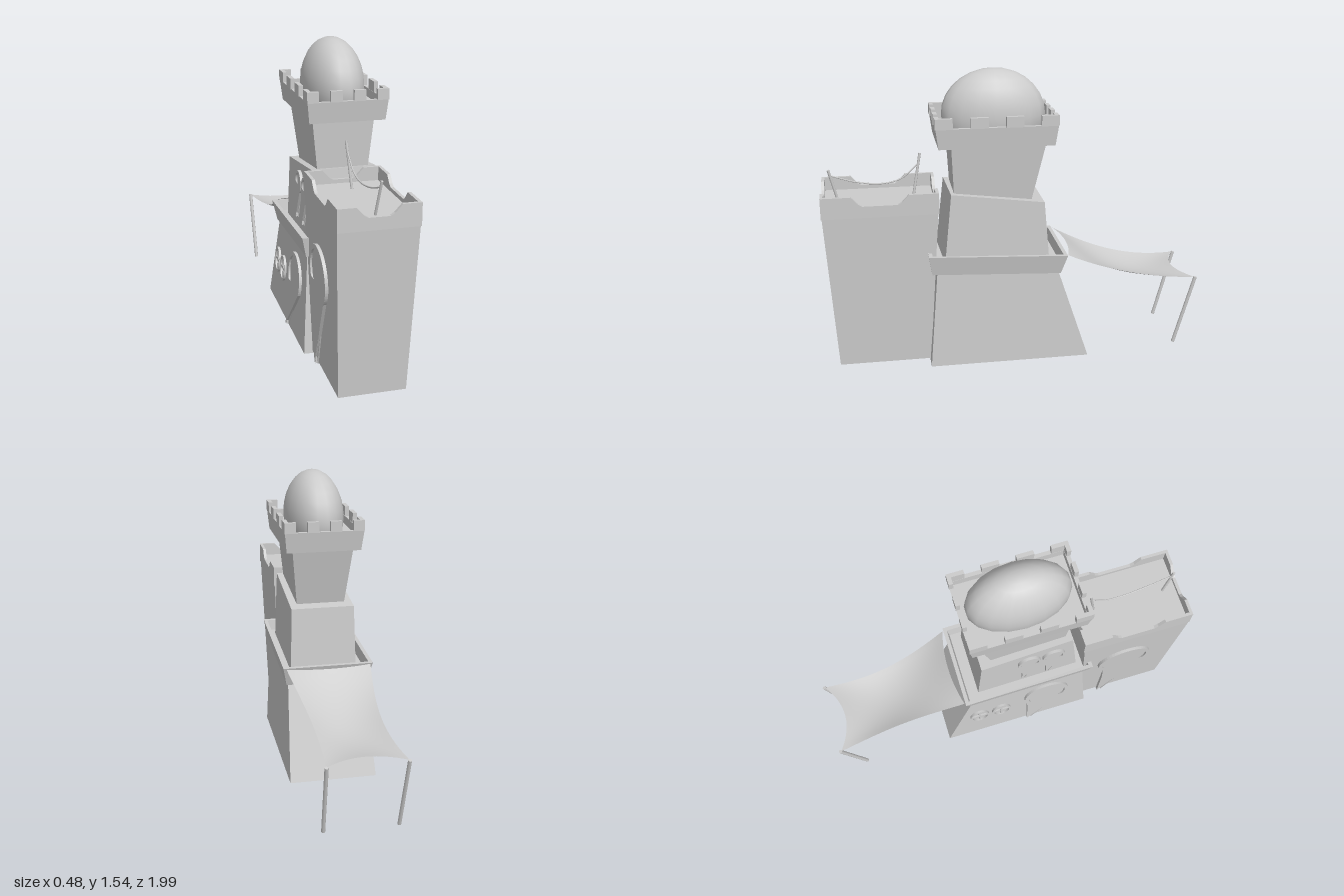
import * as THREE from 'three';

const V = (x, y, z) => new THREE.Vector3(x, y, z);
const mat = new THREE.MeshStandardMaterial({ color: 0xcccccc });
const flat = new THREE.MeshStandardMaterial({ color: 0xcccccc, flatShading: true });
const cloth = new THREE.MeshStandardMaterial({ color: 0xcccccc, side: THREE.DoubleSide });

function add(parent, name, geometry, material = flat) {
  const mesh = new THREE.Mesh(geometry, material);
  mesh.name = name;
  parent.add(mesh);
  return mesh;
}

// Four-sided block through rings [xMin, xMax, zFront, zBack, yFront, yBack, frontSkew]
function loft(rings) {
  const pts = rings.map(([x0, x1, zf, zb, yf, yb = yf, skew = 0]) =>
    [V(x0, yf, zf), V(x1, yf, zf - skew), V(x1, yb, zb), V(x0, yb, zb)]);
  const out = [];
  const quad = (a, b, c, d) => [a, b, c, a, c, d].forEach(p => out.push(p.x, p.y, p.z));
  const last = pts[pts.length - 1];
  quad(pts[0][3], pts[0][2], pts[0][1], pts[0][0]);
  for (let r = 0; r < pts.length - 1; r++)
    for (let i = 0; i < 4; i++) {
      const j = (i + 1) % 4;
      quad(pts[r][i], pts[r][j], pts[r + 1][j], pts[r + 1][i]);
    }
  quad(...last);
  const g = new THREE.BufferGeometry();
  g.setAttribute('position', new THREE.Float32BufferAttribute(out, 3));
  g.computeVertexNormals();
  return g;
}

// Straight round stick between two points
function rod(parent, name, a, b, r) {
  const m = add(parent, name, new THREE.CylinderGeometry(r, r, a.distanceTo(b), 8), mat);
  m.position.copy(a).lerp(b, 0.5);
  m.quaternion.setFromUnitVectors(V(0, 1, 0), b.clone().sub(a).normalize());
}

// Keyhole outline: round head of radius r on a stem of half width w
function keyhole(r, w, cy, bottom, Type = THREE.Shape) {
  const a = Math.asin(w / r), s = new Type();
  s.moveTo(w, bottom);
  s.absarc(0, cy, r, -Math.PI / 2 + a, 1.5 * Math.PI - a, false);
  s.lineTo(-w, bottom);
  s.closePath();
  return s;
}

// Extrude a shape so that it faces -x, with shape x running along z
const sideways = (shape, depth) =>
  new THREE.ExtrudeGeometry(shape, { depth, bevelEnabled: false, curveSegments: 20 }).rotateY(-Math.PI / 2);

// Framed keyhole opening on the -x wall, whose x is x0 + lean * y
function archway(parent, name, z, x0, lean, r, w, cy, bottom, t) {
  const g = new THREE.Group();
  g.name = name;
  const frame = keyhole(r, w, cy, bottom);
  frame.holes.push(keyhole(r - t, w - t, cy, bottom + 0.004, THREE.Path));
  add(g, 'archFrame', sideways(frame, 0.03)).position.x = 0.015;
  add(g, 'archPanel', sideways(keyhole(r - t, w - t, cy, bottom), 0.02)).position.x = 0.015;
  g.position.set(x0, 0, z);
  g.rotation.z = -Math.atan(lean);
  parent.add(g);
}

export function createModel() {
  const model = new THREE.Group();
  model.name = 'castle';

  // Front tower: body widening upward, walls with a dip in each side
  const tower = new THREE.Group();
  tower.name = 'frontTower';
  model.add(tower);
  add(tower, 'towerBody', loft([
    [-0.185, 0.145, 0.945, 0.465, 0.01], [-0.208, 0.175, 0.992, 0.41, 0.835],
    [-0.195, 0.165, 0.98, 0.42, 0.835], [-0.195, 0.165, 0.98, 0.42, 0.875]]));
  const dipWall = (len, dip) => {
    const h = len / 2, s = new THREE.Shape();
    [[-h, 0.835], [h, 0.835], [h, 0.945], [dip, 0.945], [dip - 0.035, 0.907], [dip - 0.055, 0.895],
      [0.055 - dip, 0.895], [0.035 - dip, 0.907], [-dip, 0.945], [-h, 0.945]]
      .forEach(([x, y], i) => (i ? s.lineTo(x, y) : s.moveTo(x, y)));
    return new THREE.ExtrudeGeometry(s, { depth: 0.016, bevelEnabled: false });
  };
  for (const z of [0.98, 0.404]) add(tower, 'towerEndWall', dipWall(0.386, 0.105)).position.set(-0.016, 0, z);
  for (const x of [-0.193, 0.179]) {
    const wall = add(tower, 'towerSideWall', dipWall(0.592, 0.145));
    wall.rotation.y = -Math.PI / 2;
    wall.position.set(x, 0, 0.7);
  }
  archway(tower, 'towerDoor', 0.67, -0.186, -0.027, 0.15, 0.105, 0.51, 0, 0.022);

  // Two leaning poles with a slack line
  rod(tower, 'linePole', V(-0.01, 0.87, 0.91), V(0.005, 1.042, 0.952), 0.007);
  rod(tower, 'linePole', V(-0.002, 0.87, 0.525), V(-0.021, 1.105, 0.483), 0.007);
  const line = new THREE.CatmullRomCurve3([V(0.003, 1.012, 0.945), V(-0.001, 0.97, 0.81),
    V(-0.007, 0.955, 0.68), V(-0.012, 0.975, 0.585), V(-0.017, 1.052, 0.492)]);
  add(tower, 'slackLine', new THREE.TubeGeometry(line, 24, 0.004, 6), mat);

  // Keep: sloping base and flared, hollow parapet
  const keep = new THREE.Group();
  keep.name = 'keep';
  model.add(keep);
  add(keep, 'keepBase', loft([
    [-0.23, 0.225, 0.47, -0.375, 0], [-0.2, 0.205, 0.425, -0.21, 0.53, 0.495]]));
  add(keep, 'keepParapet', loft([
    [-0.213, 0.215, 0.452, -0.222, 0.518, 0.485], [-0.235, 0.235, 0.468, -0.255, 0.622, 0.588],
    [-0.215, 0.215, 0.448, -0.235, 0.62, 0.589], [-0.205, 0.205, 0.44, -0.225, 0.565, 0.533]]));
  archway(keep, 'keepDoor', 0.22, -0.23, 0.058, 0.13, 0.115, 0.32, 0.005, 0.022);

  // Pair of oval windows with cross bars
  for (const z of [-0.18, -0.05]) {
    const win = new THREE.Group();
    win.name = 'ovalWindow';
    const ring = new THREE.Shape().absarc(0, 0, 0.055, 0, Math.PI * 2, false);
    ring.holes.push(new THREE.Path().absarc(0, 0, 0.044, 0, Math.PI * 2, true));
    add(win, 'windowRing', sideways(ring, 0.024)).position.x = 0.012;
    add(win, 'windowBar', new THREE.BoxGeometry(0.018, 0.1, 0.01));
    add(win, 'windowBar', new THREE.BoxGeometry(0.018, 0.01, 0.1));
    win.position.set(-0.215, 0.26, z);
    win.scale.y = 1.3;
    win.rotation.z = -0.058;
    keep.add(win);
  }

  // Upper storeys: middle block and neck widening upward
  const upper = new THREE.Group();
  upper.name = 'upperTower';
  model.add(upper);
  add(upper, 'middleBlock', loft([
    [-0.165, 0.182, 0.4, -0.168, 0.53, 0.52, 0.015], [-0.157, 0.172, 0.355, -0.14, 0.93, 0.867, 0.012]]));
  for (const z of [0.12, 0.255])
    archway(upper, 'archedWindow', z, -0.176, 0.02, 0.062, 0.04, 0.8, 0.6, 0.013);
  add(upper, 'neck', loft([
    [-0.117, 0.132, 0.322, -0.075, 0.86], [-0.15, 0.165, 0.337, -0.147, 1.18]]));

  // Crown with four merlons along each side
  add(upper, 'crown', loft([
    [-0.181, 0.201, 0.403, -0.186, 1.175], [-0.193, 0.211, 0.417, -0.201, 1.28],
    [-0.172, 0.19, 0.396, -0.18, 1.28], [-0.172, 0.19, 0.396, -0.18, 1.235]]));
  const [x0, x1, zb, zf, t] = [-0.195, 0.213, -0.203, 0.42, 0.022];
  const sx = (x1 - x0) / 7, sz = (zf - zb) / 7;
  for (let i = 0; i < 7; i += 2) {
    for (const z of [zb + t / 2, zf - t / 2])
      add(upper, 'merlon', new THREE.BoxGeometry(sx, 0.054, t)).position.set(x0 + sx * (i + 0.5), 1.305, z);
    for (const x of [x0 + t / 2, x1 - t / 2])
      add(upper, 'merlon', new THREE.BoxGeometry(t, 0.054, sz)).position.set(x, 1.305, zb + sz * (i + 0.5));
  }

  // Long dome
  const dome = add(upper, 'dome', new THREE.SphereGeometry(1, 18, 14), mat);
  dome.scale.set(0.153, 0.235, 0.27);
  dome.position.set(0.011, 1.308, 0.103);

  // Sagging canopy held by two poles
  const canopy = new THREE.Group();
  canopy.name = 'canopy';
  model.add(canopy);
  const sheet = new THREE.PlaneGeometry(2, 1, 14, 18);
  const p = sheet.attributes.position;
  for (let i = 0; i < p.count; i++) {
    const s = p.getX(i), k = p.getY(i) + 0.5, mid = 1 - s * s, arc = Math.sin(Math.PI * k);
    p.setXYZ(i,
      -0.032 * k + s * (0.22 - 0.027 * k - 0.035 * arc),
      0.39 + 0.195 * (1 - k) ** 2 - 0.035 * mid * arc,
      -0.26 - 0.72 * k + mid * (0.1 * k - 0.03));
  }
  sheet.computeVertexNormals();
  add(canopy, 'canopyCloth', sheet, cloth);
  rod(canopy, 'canopyPole', V(-0.215, 0.005, -0.88), V(-0.225, 0.39, -0.985), 0.01);
  rod(canopy, 'canopyPole', V(0.155, 0.005, -0.88), V(0.161, 0.39, -0.985), 0.01);

  return model;
}
